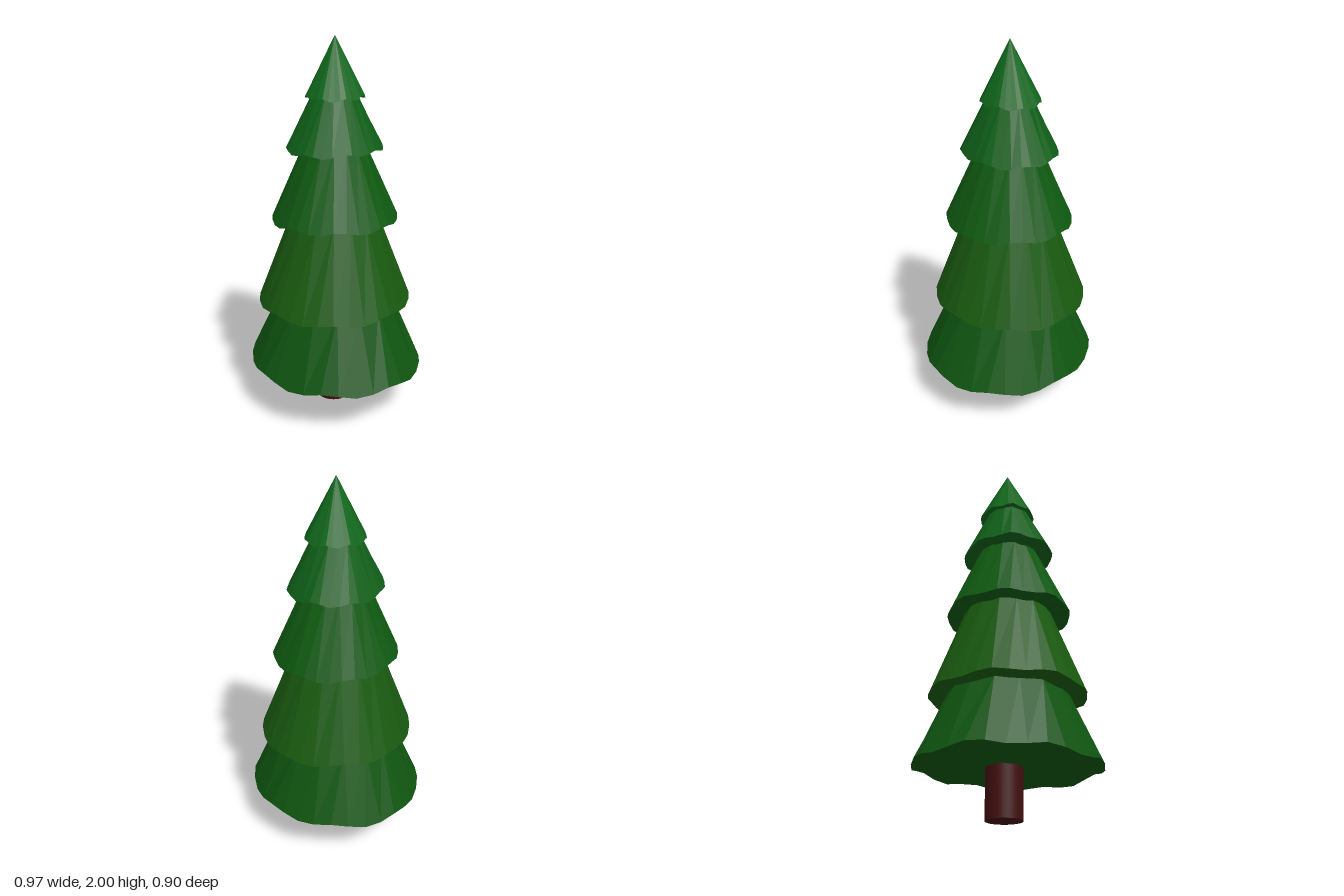
import * as THREE from 'three';

const SIDES = 32;

// One skirt of branches: faceted cone with a wavy rim and a closed underside
function makeTier({ name, color, low, wave, rim, centre, topY, top, topCentre, phase }) {
  const ring = (fn) => Array.from({ length: SIDES }, (_, i) => fn((i / SIDES) * Math.PI * 2, i));
  const bottom = ring((a) => [
    centre[0] + rim[0] * Math.cos(a),
    low + wave * (0.5 + 0.35 * Math.sin(8 * a + phase) + 0.15 * Math.sin(3 * a + phase * 2)),
    centre[1] + rim[1] * Math.sin(a),
  ]);
  // The upper ring has half as many corners, giving broad flat panels
  const upper = ring((_, i) => {
    const a = (Math.floor(i / 2) / (SIDES / 2)) * Math.PI * 2;
    return [topCentre[0] + top[0] * Math.cos(a), topY, topCentre[1] + top[1] * Math.sin(a)];
  });
  const under = [centre[0], low + wave * 0.5, centre[1]];
  const points = [];
  for (let i = 0; i < SIDES; i++) {
    const j = (i + 1) % SIDES;
    points.push(bottom[j], bottom[i], upper[i]);
    if (i % 2) points.push(bottom[j], upper[i], upper[j]);
    points.push(under, bottom[i], bottom[j]);
  }
  const geometry = new THREE.BufferGeometry();
  geometry.setAttribute('position', new THREE.Float32BufferAttribute(points.flat(), 3));
  geometry.computeVertexNormals();
  const mesh = new THREE.Mesh(geometry, new THREE.MeshStandardMaterial({ color, flatShading: true }));
  mesh.name = name;
  return mesh;
}

export function createModel() {
  const tree = new THREE.Group();
  tree.name = 'firTree';

  // Trunk
  const trunk = new THREE.Mesh(
    new THREE.CylinderGeometry(0.093, 0.093, 0.32, 32),
    new THREE.MeshStandardMaterial({ color: 0x430f0f })
  );
  trunk.name = 'trunk';
  trunk.position.set(-0.022, 0.16, -0.008);
  tree.add(trunk);

  // Branch tiers from bottom to tip
  const tiers = [
    { name: 'bottomTier', color: 0x0f5510, low: 0.238, wave: 0.036, rim: [0.483, 0.452], centre: [0, 0],
      topY: 0.63, top: [0.315, 0.295], topCentre: [0, 0], phase: 0.4 },
    { name: 'lowerTier', color: 0x195a10, low: 0.602, wave: 0.028, rim: [0.402, 0.415], centre: [-0.008, -0.002],
      topY: 1.09, top: [0.225, 0.23], topCentre: [-0.007, 0], phase: 1.3 },
    { name: 'middleTier', color: 0x0f5a11, low: 1.06, wave: 0.028, rim: [0.323, 0.338], centre: [-0.003, 0],
      topY: 1.46, top: [0.157, 0.162], topCentre: [-0.005, 0], phase: 2.4 },
    { name: 'upperTier', color: 0x0f5f18, low: 1.43, wave: 0.026, rim: [0.237, 0.262], centre: [-0.004, 0],
      topY: 1.72, top: [0.108, 0.115], topCentre: [-0.006, 0], phase: 3.5 },
    { name: 'tipTier', color: 0x10671c, low: 1.69, wave: 0.022, rim: [0.148, 0.157], centre: [-0.007, -0.006],
      topY: 2, top: [0, 0], topCentre: [-0.007, -0.003], phase: 4.3 },
  ];
  tiers.forEach((tier) => tree.add(makeTier(tier)));

  return tree;
}
